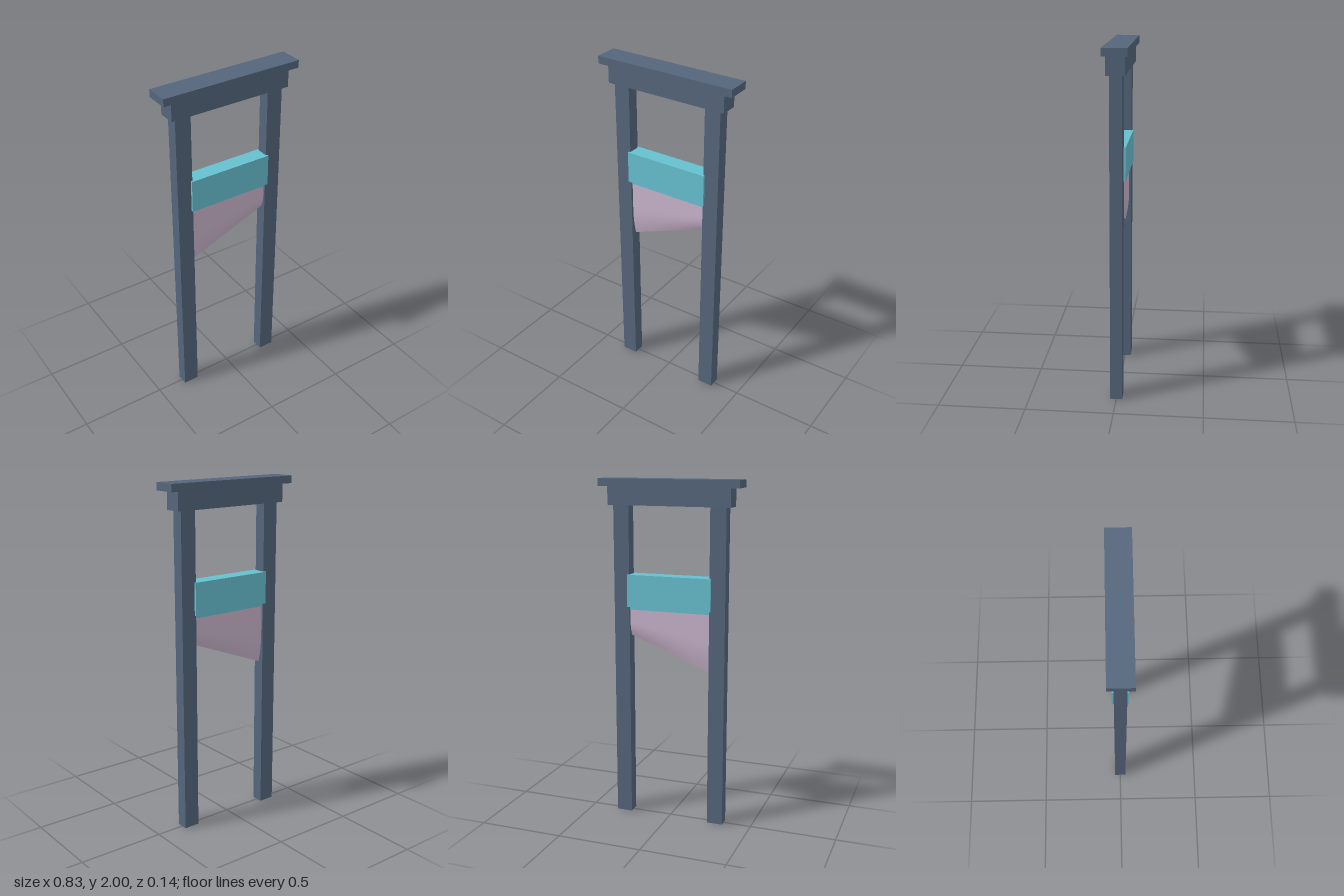
import * as THREE from 'three';

export function createModel() {
  const model = new THREE.Group();
  model.name = 'bladeFrame';

  const frameMat = new THREE.MeshStandardMaterial({ color: 0x54657b });
  frameMat.name = 'slate';
  const weightMat = new THREE.MeshStandardMaterial({ color: 0x66c0cf });
  weightMat.name = 'teal';
  const bladeMat = new THREE.MeshStandardMaterial({ color: 0xc8b3cb });
  bladeMat.name = 'paleMauve';

  // Box centred on z = 0, given by its width, vertical range and depth
  function addBox(name, mat, width, y0, y1, depth, x = 0) {
    const mesh = new THREE.Mesh(new THREE.BoxGeometry(width, y1 - y0, depth), mat);
    mesh.position.set(x, (y0 + y1) / 2, 0);
    mesh.name = name;
    model.add(mesh);
  }

  // Frame: two posts, crossbeam and cap
  addBox('leftPost', frameMat, 0.093, 0, 1.853, 0.069, 0.288);
  addBox('rightPost', frameMat, 0.093, 0, 1.853, 0.069, -0.288);
  addBox('crossbeam', frameMat, 0.725, 1.853, 1.957, 0.102);
  addBox('cap', frameMat, 0.829, 1.957, 2, 0.136);

  // Weight that carries the blade, with a narrower clamp under it
  addBox('weight', weightMat, 0.502, 1.273, 1.46, 0.092);
  addBox('bladeClamp', weightMat, 0.482, 1.255, 1.273, 0.056);

  // Slanted blade, thinning in a curve towards its lower edge
  const halfWidth = 0.241, top = 1.256;
  const geo = new THREE.BoxGeometry(halfWidth * 2, 1, 2, 6, 12, 1);
  const pos = geo.attributes.position;
  for (let i = 0; i < pos.count; i++) {
    const t = 0.5 - pos.getY(i);
    const slant = (pos.getX(i) + halfWidth) / (2 * halfWidth);
    const bottom = THREE.MathUtils.lerp(0.91, 1.1, slant);
    const taper = Math.max(0, (t - 0.5) / 0.5);
    const halfDepth = 0.022 * (1 - taper * taper) + 0.0005;
    pos.setY(i, THREE.MathUtils.lerp(top, bottom, t));
    pos.setZ(i, pos.getZ(i) * halfDepth);
  }
  geo.computeVertexNormals();
  const blade = new THREE.Mesh(geo, bladeMat);
  blade.name = 'blade';
  model.add(blade);

  return model;
}
